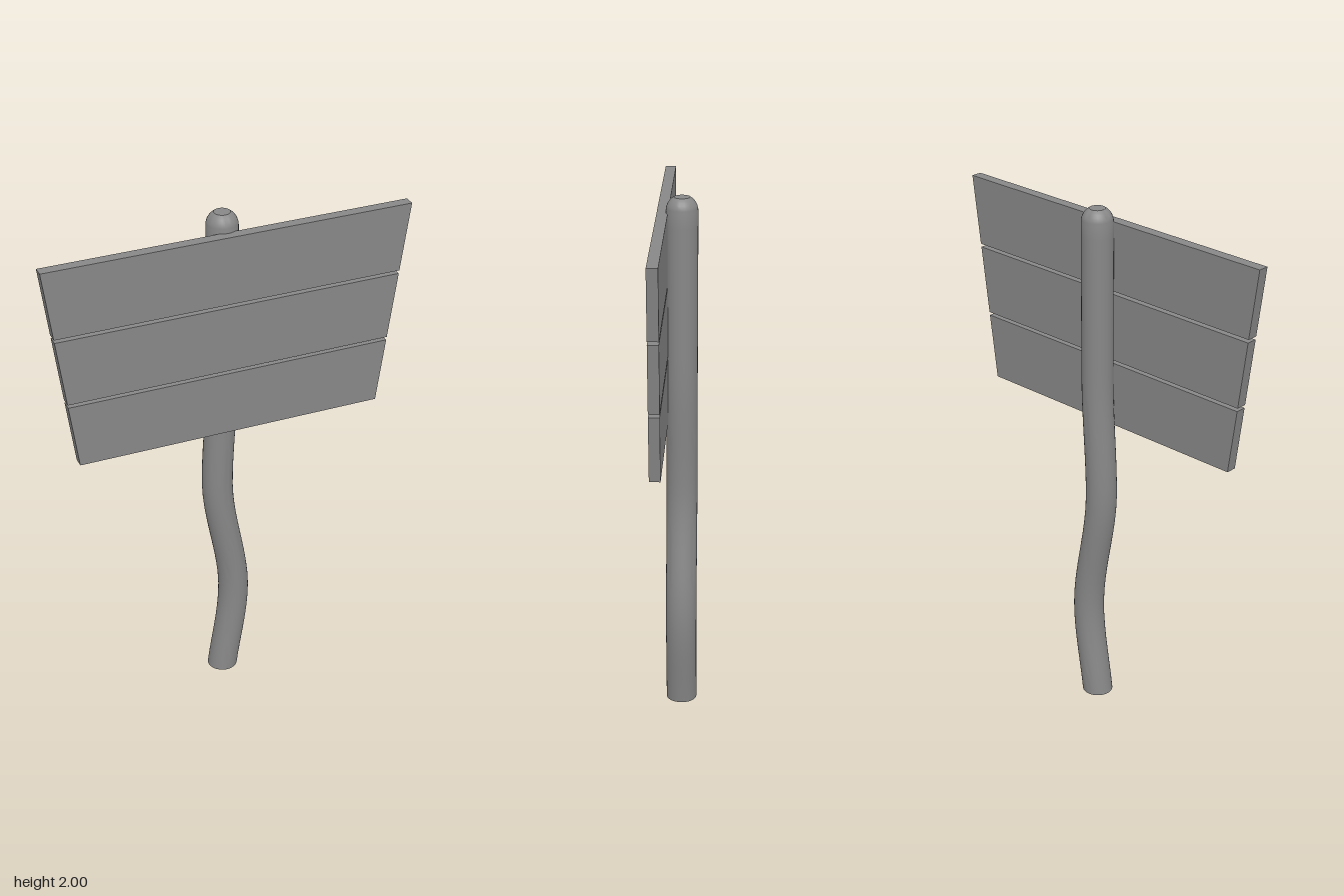
import * as THREE from 'three';
import { toCreasedNormals } from 'three/addons/utils/BufferGeometryUtils.js';

const RADIUS = 0.058, POST_Z = -0.016, SHOULDER = 1.95;

// Sideways offset of the crooked post at height y
function bend(y) {
  const u = y / 0.37;
  if (u < 1) return 0.046 * (u + u * u - u * u * u);
  if (y < 0.88) return THREE.MathUtils.lerp(0.046, -0.02, THREE.MathUtils.smoothstep(y, 0.37, 0.88));
  return -0.02 * (1 - THREE.MathUtils.smoothstep(y, 0.88, 1.35));
}

// Half width of the tapering sign at height y
const halfWidth = (y) => THREE.MathUtils.mapLinear(y, 1.152, 1.943, 0.583, 0.691);

export function createModel() {
  const group = new THREE.Group();
  const material = new THREE.MeshStandardMaterial({ color: 0x878787 });
  const postMaterial = new THREE.MeshStandardMaterial({ color: 0x878787, side: THREE.DoubleSide });

  // Post: lathed pole, open below, with a domed and flattened top, then bent sideways
  const profile = [];
  for (let i = 0; i <= 36; i++) profile.push(new THREE.Vector2(RADIUS, SHOULDER * i / 36));
  const domeAngle = Math.asin((2 - SHOULDER) / RADIUS);
  for (let i = 1; i <= 6; i++) {
    const a = (i / 6) * domeAngle;
    profile.push(new THREE.Vector2(RADIUS * Math.cos(a), SHOULDER + RADIUS * Math.sin(a)));
  }
  profile.push(new THREE.Vector2(0, 2));
  const pole = new THREE.LatheGeometry(profile, 32);
  const pos = pole.attributes.position;
  for (let i = 0; i < pos.count; i++) pos.setX(i, pos.getX(i) + bend(pos.getY(i)));
  const post = new THREE.Mesh(toCreasedNormals(pole, 0.4), postMaterial);
  post.name = 'post';
  post.position.z = POST_Z;
  group.add(post);

  // Three planks forming a trapezoid sign
  const planks = [['lowerPlank', 1.152, 1.4], ['middlePlank', 1.412, 1.669], ['upperPlank', 1.681, 1.943]];
  for (const [name, y0, y1] of planks) {
    const w0 = halfWidth(y0), w1 = halfWidth(y1);
    const shape = new THREE.Shape([
      new THREE.Vector2(-w0, y0), new THREE.Vector2(w0, y0),
      new THREE.Vector2(w1, y1), new THREE.Vector2(-w1, y1),
    ]);
    const plank = new THREE.Mesh(new THREE.ExtrudeGeometry(shape, { depth: 0.04, bevelEnabled: false }), material);
    plank.name = name;
    plank.position.z = 0.034;
    group.add(plank);
  }
  return group;
}
